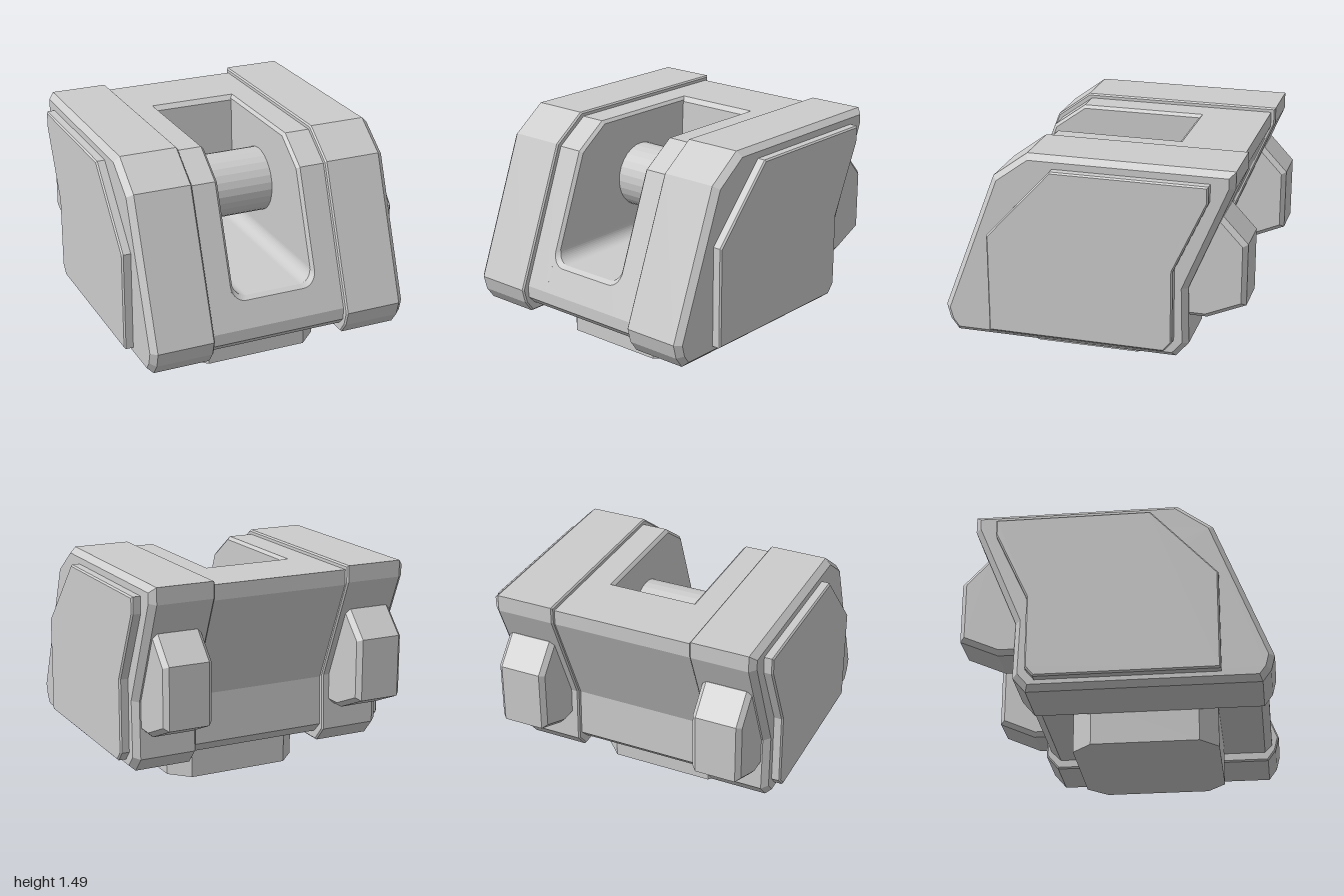
import * as THREE from 'three';

const material = new THREE.MeshStandardMaterial({ color: 0xcccccc, flatShading: true });

function addMesh(parent, name, geometry) {
  const mesh = new THREE.Mesh(geometry, material);
  mesh.name = name;
  parent.add(mesh);
  return mesh;
}

// Moves every edge of a counter-clockwise outline inwards by d, with mitred corners
function inset(points, d) {
  const n = points.length;
  const normal = (a, b) => new THREE.Vector2(a.y - b.y, b.x - a.x).normalize();
  return points.map((p, i) => {
    const n1 = normal(points[(i + n - 1) % n], p);
    const n2 = normal(p, points[(i + 1) % n]);
    return p.clone().addScaledVector(n1.clone().add(n2), d / (1 + n1.dot(n2)));
  });
}

// Slab across x: a [z, y] profile lofted through [x, inset] rings; side = -1 mirrors it
function slab(profile, rings, side = 1) {
  const outline = profile.map(([z, y]) => new THREE.Vector2(-z, y));
  if (THREE.ShapeUtils.isClockWise(outline)) outline.reverse();
  const loops = rings
    .map(([x, d]) => ({ x: x * side, points: inset(outline, d) }))
    .sort((a, b) => a.x - b.x);
  const positions = [];
  const put = (loop, i) => {
    const p = loop.points[i % outline.length];
    positions.push(loop.x, p.y, -p.x);
  };
  for (let r = 0; r < loops.length - 1; r++) {
    const a = loops[r], b = loops[r + 1];
    for (let i = 0; i < outline.length; i++) {
      put(a, i); put(a, i + 1); put(b, i + 1);
      put(a, i); put(b, i + 1); put(b, i);
    }
  }
  const first = loops[0], last = loops[loops.length - 1];
  for (const [i, j, k] of THREE.ShapeUtils.triangulateShape(first.points, [])) {
    put(first, k); put(first, j); put(first, i);
  }
  for (const [i, j, k] of THREE.ShapeUtils.triangulateShape(last.points, [])) {
    put(last, i); put(last, j); put(last, k);
  }
  const geometry = new THREE.BufferGeometry();
  geometry.setAttribute('position', new THREE.Float32BufferAttribute(positions, 3));
  geometry.computeVertexNormals();
  return geometry;
}

// Profiles as [z, y]
const sideProfile = [
  [1.0, 0.38], [0.64, 1.32], [0.41, 1.49], [-0.92, 1.49], [-0.92, 1.38],
  [-0.635, 0.69], [-0.645, 0.31], [-0.56, 0.21], [0.92, 0.21], [0.975, 0.285],
];
const panelProfile = [
  [0.67, 0.94], [0.24, 1.41], [-0.77, 1.41], [-0.77, 1.3],
  [-0.555, 0.83], [-0.555, 0.34], [-0.5, 0.275], [0.67, 0.275],
];
const lugProfile = [
  [-0.6, 1.18], [-0.84, 1.18], [-1.0, 1.01], [-1.0, 0.6], [-0.75, 0.49], [-0.6, 0.49],
];
const bodyBack = [
  [-0.89, 1.46], [-0.89, 1.36], [-0.6, 0.67], [-0.61, 0.34], [-0.54, 0.27], [0.9, 0.27], [0.95, 0.32],
];
const cheekProfile = [[0.95, 0.4], [0.61, 1.3], [0.39, 1.46], ...bodyBack];
const coreProfile = [
  [0.95, 0.4], [-0.38, 0.4], [-0.38, 0.59], [-0.42, 1.43], [-0.45, 1.46], ...bodyBack,
];

// Round-cornered slot floor, its front end cut to the sloping face with a chamfered lip
function slotFloor() {
  const half = 0.28, floor = 0.59, r = 0.09;
  const shape = new THREE.Shape();
  shape.moveTo(-0.31, 0.4);
  shape.lineTo(0.31, 0.4);
  shape.lineTo(0.31, floor + r);
  shape.lineTo(half, floor + r);
  shape.absarc(half - r, floor + r, r, 0, -Math.PI / 2, true);
  shape.lineTo(-half + r, floor);
  shape.absarc(-half + r, floor + r, r, -Math.PI / 2, -Math.PI, true);
  shape.lineTo(-0.31, floor + r);
  const geometry = new THREE.ExtrudeGeometry(shape, {
    depth: 1, steps: 2, bevelEnabled: false, curveSegments: 6,
  });
  const pos = geometry.attributes.position;
  const slope = (y) => 0.95 - 0.378 * (y - 0.4);
  for (let i = 0; i < pos.count; i++) {
    let x = pos.getX(i), y = pos.getY(i), z = pos.getZ(i);
    if (z < 0.25) z = -0.4;
    else if (z < 0.75) z = slope(y) - 0.025;
    else {
      if (Math.abs(x) < 0.305) {
        x *= 1.07;
        y = 0.87 + (y - 0.87) * 1.07;
      }
      z = slope(y);
    }
    pos.setXYZ(i, x, y, z);
  }
  geometry.computeVertexNormals();
  return geometry;
}

export function createModel() {
  const model = new THREE.Group();
  model.name = 'slottedHousing';

  // Central body with the open slot
  const body = new THREE.Group();
  body.name = 'centralBody';
  model.add(body);
  addMesh(body, 'bodyCore', slab(coreProfile, [[-0.31, 0], [0.31, 0]]));
  addMesh(body, 'slotFloor', slotFloor());

  // Cross bar through the slot
  const bar = addMesh(model, 'crossBar', new THREE.CylinderGeometry(0.22, 0.22, 0.62, 28));
  bar.rotation.z = Math.PI / 2;
  bar.position.set(0, 1.01, 0.03);

  // Octagonal foot
  const foot = new THREE.Shape();
  [[0.475, 0.5], [0.35, 0.62], [-0.35, 0.62], [-0.475, 0.5],
    [-0.475, -0.2], [-0.35, -0.33], [0.35, -0.33], [0.475, -0.2]]
    .forEach(([x, z], i) => (i ? foot.lineTo(x, -z) : foot.moveTo(x, -z)));
  const footGeometry = new THREE.ExtrudeGeometry(foot, { depth: 0.3, bevelEnabled: false });
  addMesh(model, 'foot', footGeometry.rotateX(-Math.PI / 2));

  // Mirrored cheeks, side blocks, outer panels and rear lugs
  for (const [label, side] of [['left', 1], ['right', -1]]) {
    addMesh(body, label + 'Cheek', slab(cheekProfile, [[0.28, 0.02], [0.3, 0], [0.5, 0]], side));
    addMesh(model, label + 'SideBlock',
      slab(sideProfile, [[0.47, 0.01], [0.48, 0], [0.86, 0], [0.9, 0.036]], side));
    addMesh(model, label + 'OuterPanel',
      slab(panelProfile, [[0.88, 0], [0.95, 0], [0.96, 0.01]], side));
    addMesh(model, label + 'RearLug',
      slab(lugProfile, [[0.52, 0.03], [0.55, 0], [0.82, 0], [0.85, 0.03]], side));
  }
  return model;
}
